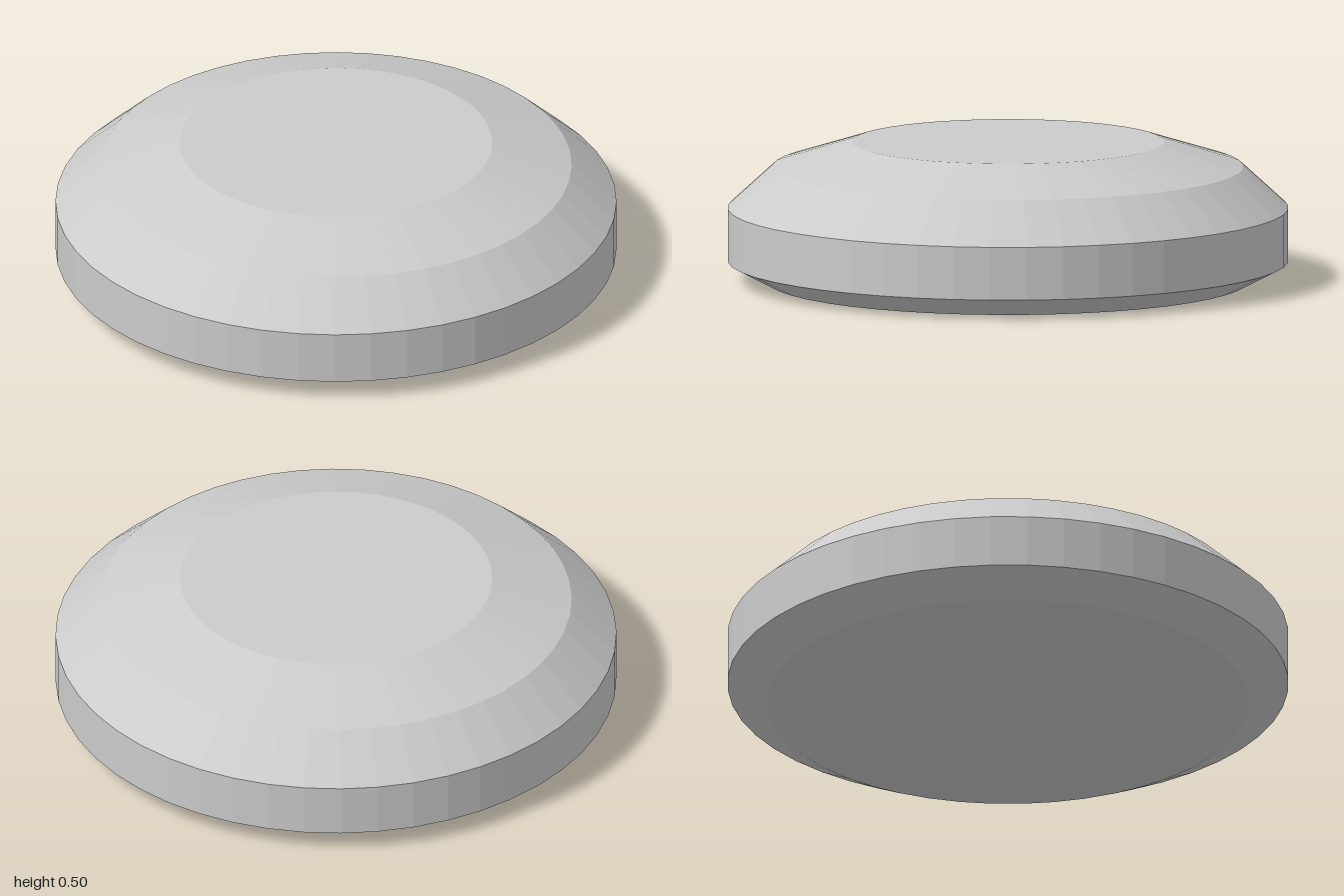
import * as THREE from 'three';

export function createModel() {
  const group = new THREE.Group();
  group.name = 'roundDisc';
  const material = new THREE.MeshStandardMaterial({ color: 0xcccccc, flatShading: true });

  // Radius and height, from the underside centre up to the top centre
  const profile = [
    [0, 0],
    [0.86, 0], // flat underside
    [1, 0.073], // lower bevel
    [1, 0.263], // upright rim
    [0.84, 0.41], // steep shoulder
    [0.557, 0.5], // shallow shoulder
    [0, 0.5], // flat top
  ].map(([r, y]) => new THREE.Vector2(r, y));

  // Faceted body of 48 sides
  const body = new THREE.Mesh(new THREE.LatheGeometry(profile, 48), material);
  body.name = 'discBody';
  group.add(body);

  return group;
}
